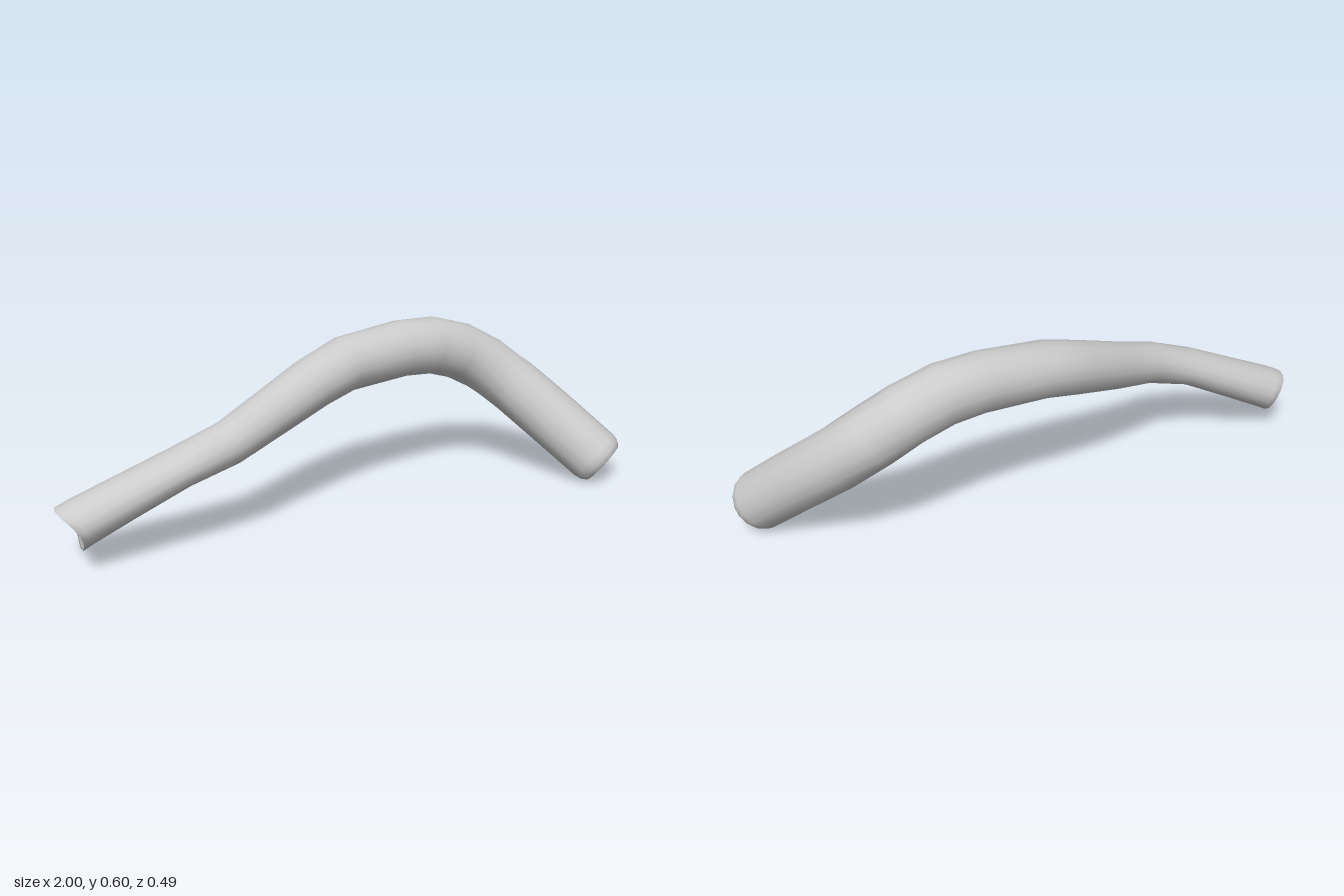
import * as THREE from 'three';

const SIDES = 16;

// Body cross-sections: centre x, y, z, then half-width and half-height
const SECTIONS = [
  [-0.97, 0.14, 0.0, 0.087, 0.079],
  [-0.93, 0.16, 0.003, 0.088, 0.076],
  [-0.8, 0.217, 0.018, 0.087, 0.07],
  [-0.62, 0.295, 0.04, 0.084, 0.064],
  [-0.46, 0.345, 0.038, 0.076, 0.072],
  [-0.3, 0.395, -0.018, 0.081, 0.08],
  [-0.12, 0.455, -0.077, 0.091, 0.088],
  [0.02, 0.495, -0.11, 0.097, 0.093],
  [0.25, 0.513, -0.135, 0.097, 0.098],
  [0.38, 0.505, -0.146, 0.097, 0.101],
  [0.5, 0.467, -0.15, 0.098, 0.102],
  [0.6, 0.41, -0.134, 0.1, 0.102],
  [0.7, 0.325, -0.075, 0.102, 0.102],
  [0.8, 0.214, 0.037, 0.102, 0.102],
  [0.9, 0.1, 0.15, 0.101, 0.101],
];

function createTube() {
  const centres = SECTIONS.map(([x, y, z]) => new THREE.Vector3(x, y, z));
  const last = centres.length - 1;
  const positions = [];
  const index = [];

  // Direction of the path at a section
  const tangentAt = (i) => centres[Math.min(i + 1, last)].clone()
    .sub(centres[Math.max(i - 1, 0)]).normalize();

  // One elliptical loop; shift slides it along the path, saddle pulls in its sides
  function addRing(i, shift = 0, scale = 1, saddle = 0) {
    const t = tangentAt(i);
    const side = new THREE.Vector3().crossVectors(t, new THREE.Vector3(0, 1, 0)).normalize();
    const up = new THREE.Vector3().crossVectors(side, t);
    const [, , , w, h] = SECTIONS[i];
    for (let k = 0; k < SIDES; k++) {
      const a = (k / SIDES) * Math.PI * 2;
      const c = Math.cos(a), s = Math.sin(a);
      const p = centres[i].clone()
        .addScaledVector(t, shift + saddle * c * c)
        .addScaledVector(side, c * w * scale)
        .addScaledVector(up, s * h * scale);
      positions.push(p.x, p.y, p.z);
    }
  }

  // Dished end
  addRing(0, 0.04, 0.03);
  addRing(0, 0.03, 0.55, 0.01);
  addRing(0, 0.005, 0.9, 0.025);
  addRing(0, 0, 0.98, 0.025);
  // Body
  for (let i = 1; i <= last; i++) addRing(i);
  // Bevelled, nearly flat end
  addRing(last, 0.025, 0.95);
  addRing(last, 0.043, 0.83);
  addRing(last, 0.045, 0.7);
  addRing(last, 0.045, 0.03);

  const rings = positions.length / 3 / SIDES;
  for (let r = 0; r < rings - 1; r++) {
    for (let k = 0; k < SIDES; k++) {
      const a = r * SIDES + k;
      const b = r * SIDES + ((k + 1) % SIDES);
      index.push(a, a + SIDES, b, b, a + SIDES, b + SIDES);
    }
  }
  // Close the tiny centre loops of both ends
  const end = (rings - 1) * SIDES;
  for (let k = 1; k < SIDES - 1; k++) {
    index.push(0, k, k + 1);
    index.push(end, end + k + 1, end + k);
  }

  const geometry = new THREE.BufferGeometry();
  geometry.setAttribute('position', new THREE.Float32BufferAttribute(positions, 3));
  geometry.setIndex(index);
  geometry.computeVertexNormals();
  return geometry;
}

export function createModel() {
  const group = new THREE.Group();
  group.name = 'bentTube';
  const material = new THREE.MeshStandardMaterial({ color: 0xcccccc, side: THREE.DoubleSide });
  const tube = new THREE.Mesh(createTube(), material);
  tube.name = 'tubeBody';
  group.add(tube);
  return group;
}
